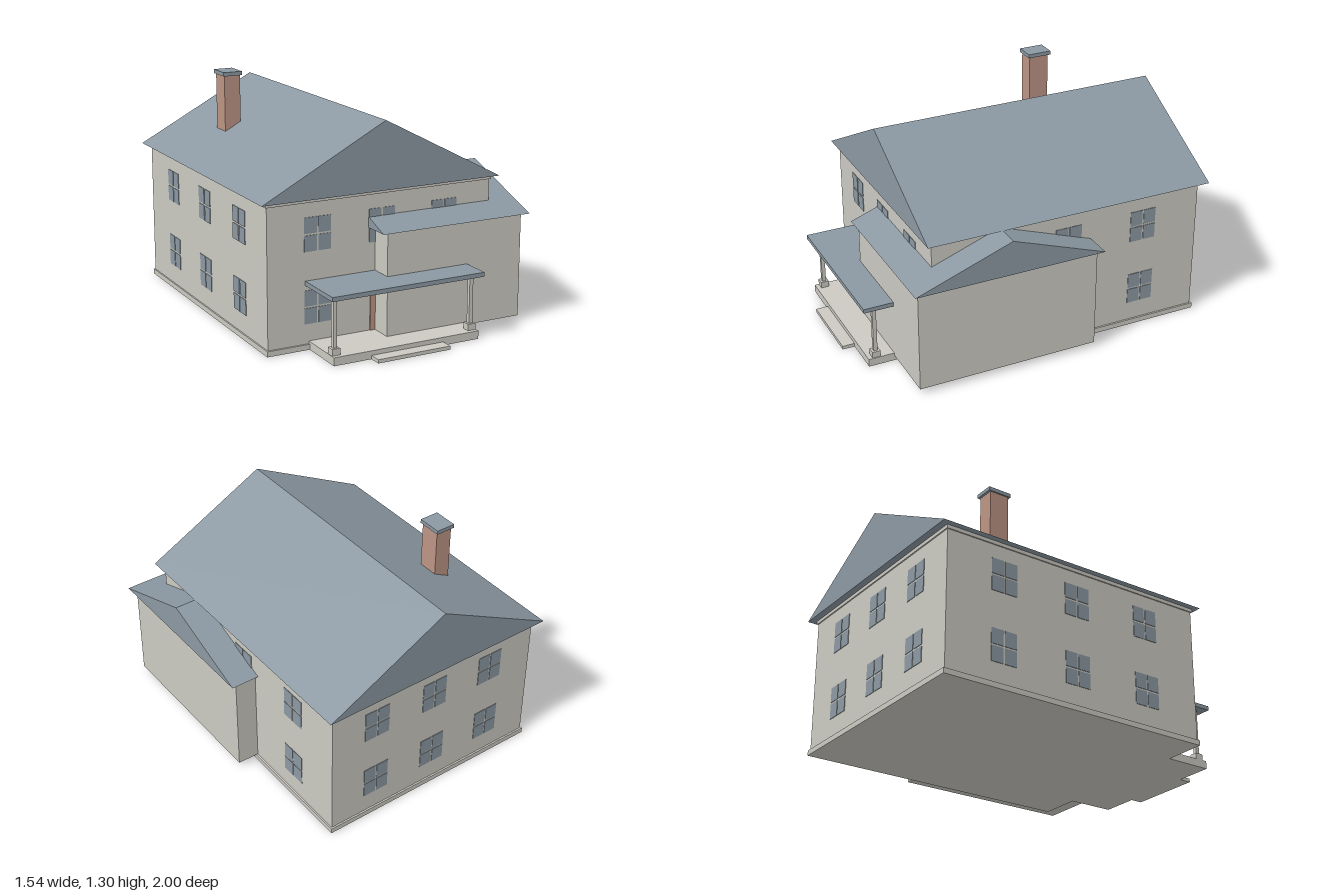
import * as THREE from 'three';

const material = (name, color) => {
  const m = new THREE.MeshStandardMaterial({ color });
  m.name = name;
  return m;
};

export function createModel() {
  const house = new THREE.Group();
  house.name = 'house';
  const wall = material('wall', 0xcbc9c1);
  const slate = material('slate', 0x8b98a2);
  const brick = material('brick', 0xbb9484);

  // Box given by its extents on each axis
  const box = (name, mat, [x0, x1], [y0, y1], [z0, z1], parent = house) => {
    const mesh = new THREE.Mesh(new THREE.BoxGeometry(x1 - x0, y1 - y0, z1 - z0), mat);
    mesh.position.set((x0 + x1) / 2, (y0 + y1) / 2, (z0 + z1) / 2);
    mesh.name = name;
    parent.add(mesh);
    return mesh;
  };

  // Closed gable roof with its ridge along z
  const gable = (name, width, height, length) => {
    const shape = new THREE.Shape();
    shape.moveTo(-width / 2, 0);
    shape.lineTo(width / 2, 0);
    shape.lineTo(0, height);
    shape.closePath();
    const geo = new THREE.ExtrudeGeometry(shape, { depth: length, bevelEnabled: false });
    geo.translate(0, 0, -length / 2);
    const mesh = new THREE.Mesh(geo, slate);
    mesh.name = name;
    house.add(mesh);
    return mesh;
  };

  // Main block
  box('foundation', wall, [-0.736, 0.616], [0, 0.03], [-0.965, 0.66]);
  box('mainWalls', wall, [-0.728, 0.606], [0.03, 0.792], [-0.955, 0.65]);
  box('eavesTrim', wall, [-0.735, 0.613], [0.79, 0.81], [-0.962, 0.657]);
  gable('mainRoof', 1.42, 0.372, 1.685).position.set(-0.06, 0.81, -0.1575);

  // Side wing, ridge running across
  box('wingWalls', wall, [-0.1, 0.73], [0.03, 0.612], [-0.258, 0.782]);
  const wingRoof = gable('wingRoof', 1.096, 0.197, 0.908);
  wingRoof.rotation.y = Math.PI / 2;
  wingRoof.position.set(0.314, 0.612, 0.262);

  // Chimney
  box('chimney', brick, [-0.482, -0.386], [0.9, 1.28], [-0.532, -0.415]);
  box('chimneyCap', slate, [-0.49, -0.378], [1.278, 1.3], [-0.545, -0.405]);

  // Porch
  box('porchFloor', wall, [-0.492, 0.375], [0, 0.045], [0.64, 0.93]);
  box('porchStep', wall, [-0.275, 0.156], [0, 0.02], [0.92, 1]);
  box('porchRoof', slate, [-0.512, 0.39], [0.35, 0.374], [0.64, 0.952]);
  for (const x of [-0.466, 0.348]) {
    box('postBase', wall, [x - 0.023, x + 0.023], [0.045, 0.081], [0.86, 0.906]);
    box('post', wall, [x - 0.011, x + 0.011], [0.08, 0.351], [0.872, 0.894]);
  }
  box('frontDoor', brick, [-0.13, 0.01], [0.045, 0.318], [0.65, 0.656]);

  // Four-pane window in a local frame facing +z
  const addWindow = (x, y, z, turn) => {
    const win = new THREE.Group();
    win.name = 'window';
    for (const sx of [-1, 1]) {
      for (const sy of [-1, 1]) {
        const pane = box('pane', slate, [-0.0365, 0.0365], [-0.043, 0.043], [-0.003, 0.003], win);
        pane.position.set(sx * 0.041, sy * 0.048, 0);
      }
    }
    win.position.set(x, y, z);
    win.rotation.y = turn;
    house.add(win);
  };

  const columnsX = [-0.44, -0.06, 0.32];
  const columnsZ = [-0.61, -0.15, 0.31];
  for (const y of [0.231, 0.621]) {
    for (const x of columnsX) {
      addWindow(x, y, -0.955, Math.PI);
      // The door and wing take the place of the other lower front windows
      if (y > 0.5 || x < -0.2) addWindow(x, y, 0.65, 0);
    }
    for (const z of columnsZ) {
      addWindow(-0.728, y, z, -Math.PI / 2);
      // The wing covers the remaining windows on this side
      if (z < -0.5 || (y > 0.5 && z < 0)) addWindow(0.606, y, z, Math.PI / 2);
    }
  }
  return house;
}
